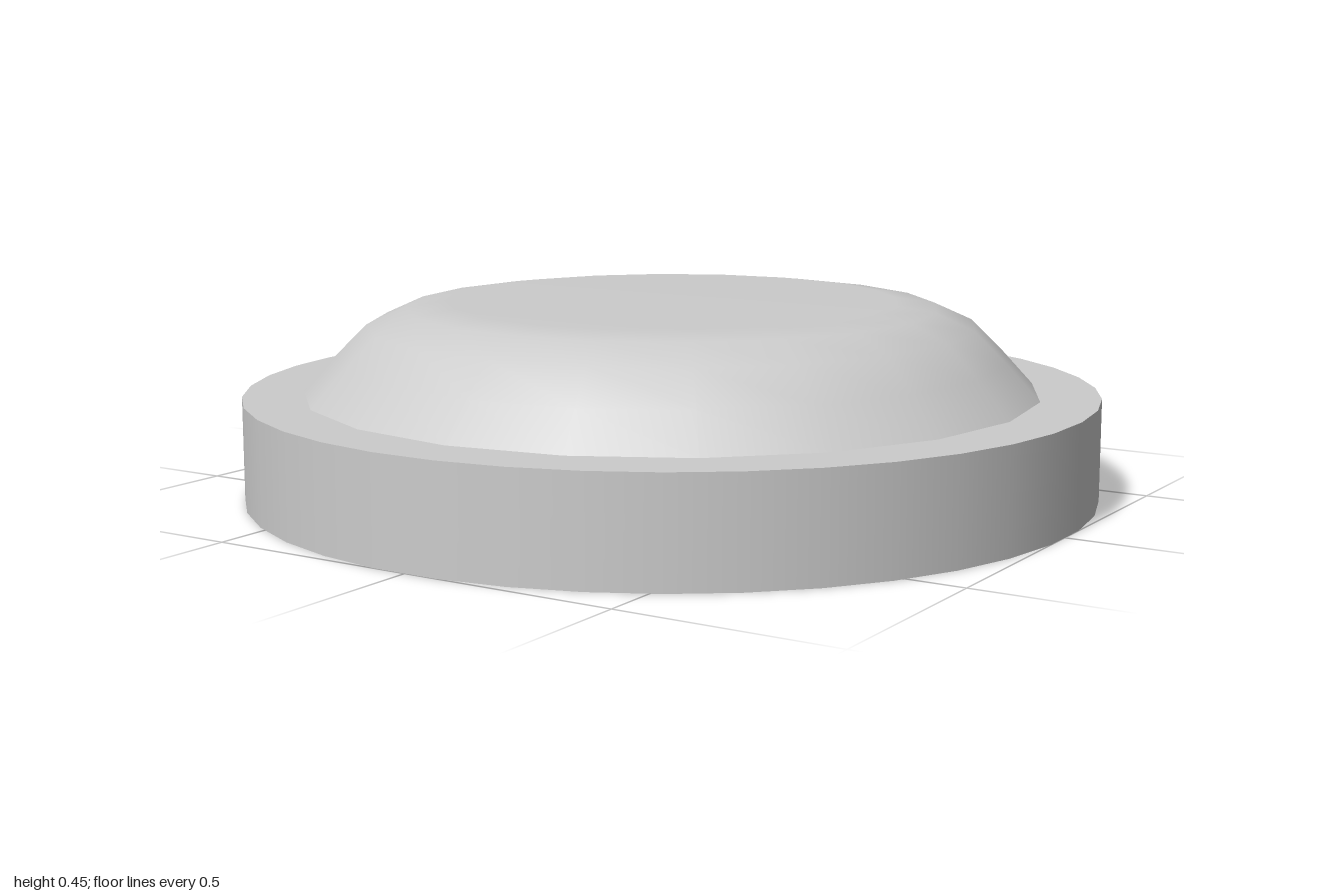
import * as THREE from 'three';

export function createModel() {
  const group = new THREE.Group();
  const material = new THREE.MeshStandardMaterial({ color: 0xcccccc });

  // Flat round base, turned so that its sides face the axes
  const sides = 40;
  const radius = 1 / Math.cos(Math.PI / sides);
  const base = new THREE.Mesh(
    new THREE.CylinderGeometry(radius, radius, 0.24, sides, 1, false, Math.PI / sides),
    material
  );
  base.name = 'base';
  base.position.y = 0.12;
  group.add(base);

  // Low dome with a sloping flank, rounded shoulder and flat top
  const profile = [
    [0.866, 0.24], [0.79, 0.323], [0.716, 0.396], [0.625, 0.437], [0.53, 0.45], [0, 0.45],
  ].map(([r, y]) => new THREE.Vector2(r, y));
  const dome = new THREE.Mesh(new THREE.LatheGeometry(profile, 20), material);
  dome.name = 'dome';
  group.add(dome);

  return group;
}
